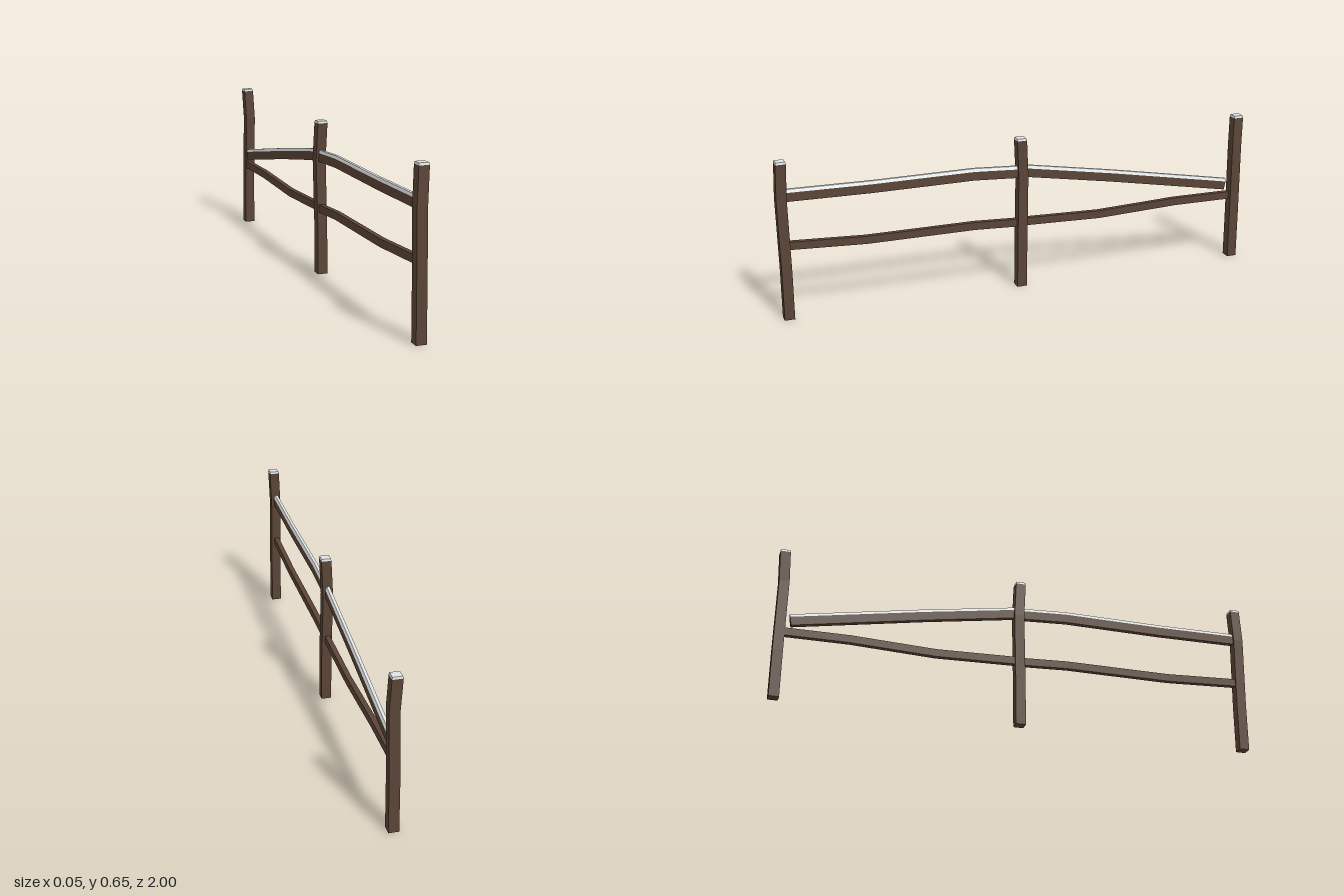
import * as THREE from 'three';

// Skin four-cornered rings into a closed, flat-sided solid
function loft(rings) {
  const pos = [];
  const quad = (a, b, c, d) => [a, b, c, a, c, d].forEach((p) => pos.push(...p));
  for (let i = 0; i < rings.length - 1; i++) {
    for (let k = 0; k < 4; k++) {
      const n = (k + 1) % 4;
      quad(rings[i][k], rings[i][n], rings[i + 1][n], rings[i + 1][k]);
    }
  }
  const [a, b, c, d] = rings[0];
  quad(d, c, b, a);
  quad(...rings[rings.length - 1]);
  const geo = new THREE.BufferGeometry();
  geo.setAttribute('position', new THREE.Float32BufferAttribute(pos, 3));
  geo.computeVertexNormals();
  return geo;
}

// Horizontal square ring for posts: centre and half width
const postRing = ([x, y, z], h) => [[x - h, y, z + h], [x + h, y, z + h], [x + h, y, z - h], [x - h, y, z - h]];

// Sweep a section of [x, height] corners along a path, square to its slope in the yz plane
function sweep(path, section) {
  return loft(path.map(([x, y, z], i) => {
    const p = path[Math.max(i - 1, 0)], q = path[Math.min(i + 1, path.length - 1)];
    const t = Math.atan2(q[1] - p[1], q[2] - p[2]);
    return section.map(([u, v]) => [x + u, y + v * Math.cos(t), z - v * Math.sin(t)]);
  }));
}

export function createModel() {
  const wood = new THREE.MeshStandardMaterial({ color: 0x5a4436 });
  wood.name = 'brownWood';
  const snow = new THREE.MeshStandardMaterial({ color: 0xdfe2e3 });
  snow.name = 'paleSnow';

  const fence = new THREE.Group();
  fence.name = 'fence';
  const add = (name, geo, mat) => {
    const mesh = new THREE.Mesh(geo, mat);
    mesh.name = name;
    fence.add(mesh);
  };

  // Slightly crooked posts, each with a thin snow cap
  const posts = {
    front: [[0, 0, 0.976], [-0.001, 0.2, 0.976], [-0.006, 0.5, 0.98], [0, 0.64, 0.976]],
    middle: [[0, 0, 0.002], [0, 0.2, 0], [-0.005, 0.48, -0.006], [0, 0.63, 0.002]],
    back: [[0, 0, -0.98], [0.001, 0.2, -0.979], [0.006, 0.5, -0.974], [0, 0.628, -0.979]],
  };
  for (const [name, path] of Object.entries(posts)) {
    add(name + 'Post', loft(path.map((p) => postRing(p, 0.0205))), wood);
    const [x, y, z] = path[path.length - 1];
    add(name + 'PostSnow', loft([postRing([x, y, z], 0.0205), postRing([x, y + 0.009, z], 0.0185)]), snow);
  }

  // Bent rails, listed from back to front
  const rails = {
    upperFront: [[-0.004, 0.489, 0.005], [-0.005, 0.5, 0.2], [-0.005, 0.498, 0.62], [-0.007, 0.502, 0.965]],
    upperBack: [[-0.008, 0.325, -0.938], [-0.006, 0.425, -0.4], [-0.004, 0.492, -0.01]],
    lowerFront: [[-0.005, 0.277, 0.005], [-0.004, 0.287, 0.2], [-0.005, 0.287, 0.65], [-0.006, 0.303, 0.965]],
    lowerBack: [[-0.006, 0.279, -0.97], [-0.006, 0.281, -0.7], [-0.005, 0.268, -0.35], [-0.004, 0.279, -0.01]],
  };
  for (const [name, path] of Object.entries(rails)) {
    const upper = name.startsWith('upper');
    const w = 0.0105, h = upper ? 0.018 : 0.016;
    add(name + 'Rail', sweep(path, [[-w, -h], [w, -h], [w, h], [-w, h]]), wood);
    // Snow ridge with sloping sides along the upper rails
    if (upper) add(name + 'RailSnow', sweep(path, [[-w, h], [w, h], [w - 0.006, h + 0.012], [-w + 0.003, h + 0.012]]), snow);
  }
  return fence;
}
